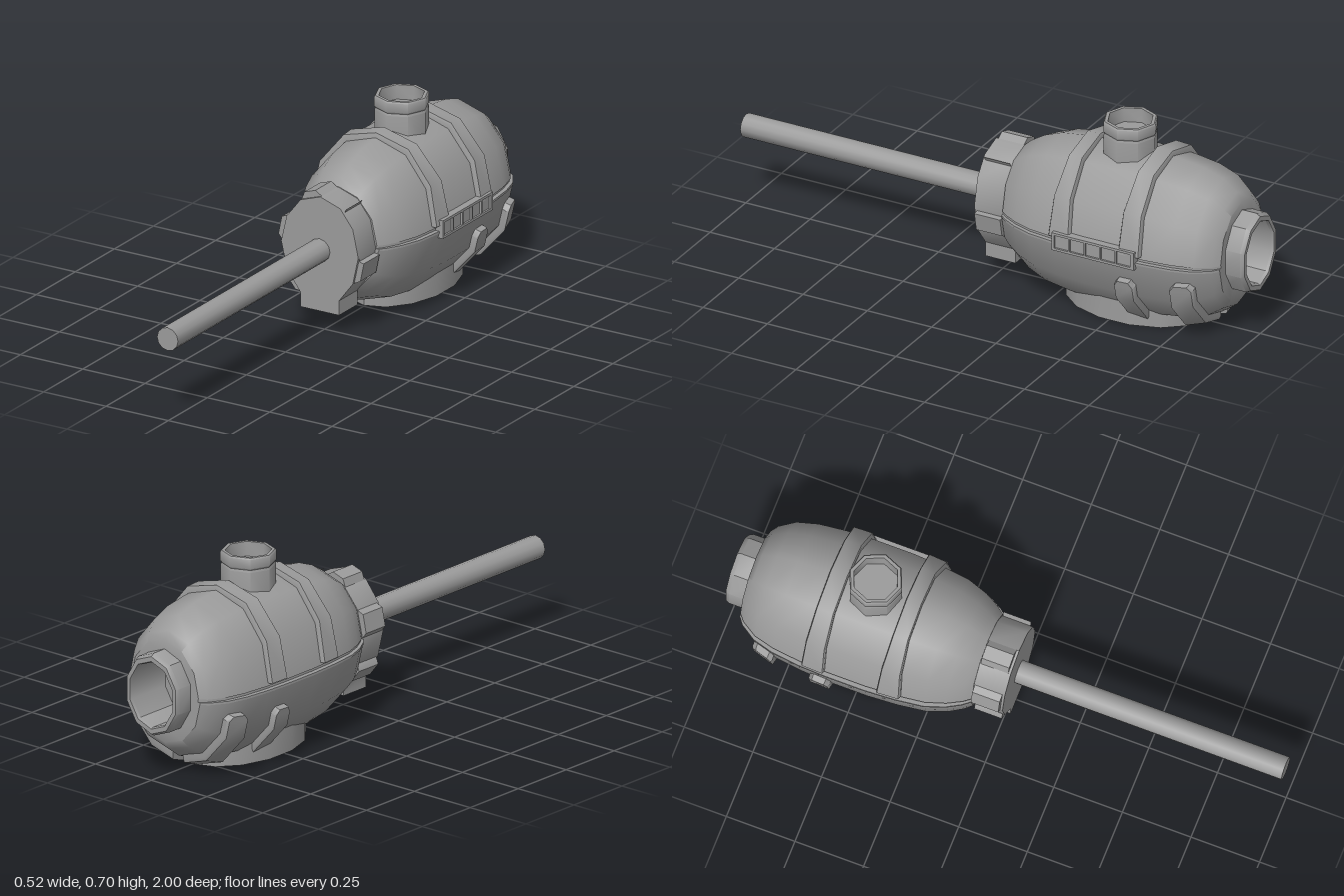
import * as THREE from 'three';
import { toCreasedNormals } from 'three/addons/utils/BufferGeometryUtils.js';

const RAD = Math.PI / 180;
const UPPER = { rx: 0.245, ry: 0.29, cy: 0.308 }; // half sections of the barrel
const LOWER = { rx: 0.257, ry: 0.288, cy: 0.297 };
const V = (a) => a.map(([x, y]) => new THREE.Vector2(x, y));

// barrel profile: [relative radius, distance behind z = 0]
const BARREL = [[0, 0.085], [0.64, 0.085], [0.72, 0.11], [0.83, 0.16], [0.925, 0.23], [0.975, 0.33],
  [1, 0.44], [1, 0.58], [0.985, 0.68], [0.94, 0.78], [0.86, 0.855], [0.72, 0.91], [0.62, 0.93], [0.43, 0.93]];

function barrelRadius(d) {
  for (let i = 2; i < BARREL.length; i++) {
    const [r0, d0] = BARREL[i - 1], [r1, d1] = BARREL[i];
    if (d <= d1) return r0 + (r1 - r0) * (d - d0) / (d1 - d0);
  }
  return 0.62;
}

// radius factor of a 12-sided outline at an angle in degrees
function facet(a) {
  const m = (((a % 30) + 30) % 30) - 15;
  return Math.cos(15 * RAD) / Math.cos(m * RAD);
}

export function createModel() {
  const root = new THREE.Group();
  const mat = new THREE.MeshStandardMaterial({ color: 0x9b9b9b });
  const thin = new THREE.MeshStandardMaterial({ color: 0x9b9b9b, side: THREE.DoubleSide });

  function add(name, geo, material = mat, crease = 0.65) {
    const mesh = new THREE.Mesh(toCreasedNormals(geo, crease), material);
    mesh.name = name;
    root.add(mesh);
  }

  // lathe turned so that its axis runs towards -z
  function turned(points, sides, { rx, ry, cy }, start = 0, length = Math.PI * 2) {
    return new THREE.LatheGeometry(V(points), sides, start, length)
      .rotateX(-Math.PI / 2).scale(rx, ry, 1).translate(0, cy, 0);
  }

  // raised strip wrapped around the barrel; columns are [angle, width factor, lift]
  function strip(name, columns, d0, d1, { rx, ry, cy }) {
    const pos = [], idx = [], mid = (d0 + d1) / 2, half = (d1 - d0) / 2;
    for (const [a, w, lift] of columns) {
      for (const [s, raised] of [[-1, 0], [-1, 0.8], [-0.9, 1], [0.9, 1], [1, 0.8], [1, 0]]) {
        const d = mid + s * w * half;
        const k = barrelRadius(d) * facet(a) * (0.94 + raised * (lift - 0.94));
        pos.push(k * rx * Math.cos(a * RAD), cy + k * ry * Math.sin(a * RAD), -d);
      }
    }
    for (let i = 0; i < columns.length - 1; i++) {
      for (let j = 0; j < 5; j++) {
        const p = i * 6 + j, q = p + 6;
        idx.push(p, p + 1, q, q, p + 1, q + 1);
      }
    }
    const g = new THREE.BufferGeometry();
    g.setAttribute('position', new THREE.Float32BufferAttribute(pos, 3));
    g.setIndex(idx);
    add(name, g, thin);
  }

  // flat plate following the barrel's plan, open at the rear outlet
  function seamPlate(name, rx, y0, y1) {
    const rim = BARREL.slice(1, -1).map(([r, d]) => [r * rx, d]);
    const shape = new THREE.Shape(V([...rim, [0.1, 0.93], [0.1, 0.2], [-0.1, 0.2], [-0.1, 0.93],
      ...rim.reverse().map(([x, d]) => [-x, d])]));
    add(name, new THREE.ExtrudeGeometry(shape, { depth: y1 - y0, bevelEnabled: false })
      .rotateX(-Math.PI / 2).translate(0, y0, 0));
  }

  // barrel halves with a ledge and a groove between them
  add('upperShell', turned(BARREL, 6, UPPER, -Math.PI / 2, Math.PI));
  add('lowerShell', turned(BARREL, 6, LOWER, Math.PI / 2, Math.PI));
  seamPlate('seamLedge', 0.257, 0.29, 0.298);
  seamPlate('seamGroove', 0.24, 0.298, 0.309);

  // upper bands, narrowing towards the top
  const over = (top) => {
    const sidePart = [[2, 1, 0.93], [2, 1, 1.07], [30, (1 + top) / 2, 1.08], [60, top, 1.085]];
    return [...sidePart, [90, top, 1.06], ...sidePart.reverse().map(([a, w, l]) => [180 - a, w, l])];
  };
  strip('frontBand', over(0.68), 0.313, 0.397, UPPER);
  strip('rearBand', over(0.8), 0.588, 0.67, UPPER);

  // lower straps on both sides, with rounded upper ends
  for (const [side, name] of [[1, 'left'], [-1, 'right']]) {
    const strap = (top, end, lift) => {
      const cols = [[top, 0.6, 0.93], [top, 0.6, lift], [top - 4, 1, lift], [-30, 1, lift],
        [-60, 1, lift], [end, 1, lift], [end, 1, 0.93]];
      return side > 0 ? cols : cols.map(([a, w, l]) => [180 - a, w, l]).reverse();
    };
    strip(name + 'MiddleStrap', strap(-16, -70, 1.09), 0.57, 0.645, LOWER);
    strip(name + 'RearStrap', strap(-12, -84, 1.11), 0.78, 0.86, LOWER);
  }

  // slotted buckle on the left side
  const rect = (C, x0, y0, x1, y1) => new C(V([[x0, y0], [x1, y0], [x1, y1], [x0, y1]]));
  const frame = rect(THREE.Shape, 0.335, -0.032, 0.655, 0.034);
  for (let i = 0; i < 5; i++) {
    const d = 0.345 + i * 0.0605;
    frame.holes.push(rect(THREE.Path, d, -0.023, d + 0.054, 0.025));
  }
  add('buckleFrame', new THREE.ExtrudeGeometry(frame, { depth: 0.03, bevelEnabled: false })
    .rotateY(Math.PI / 2).translate(0.235, 0.305, 0));
  add('buckleBack', new THREE.BoxGeometry(0.02, 0.06, 0.31).translate(0.248, 0.305, -0.495));

  // foot under the barrel
  add('foot', new THREE.CylinderGeometry(1, 1, 0.16, 14).scale(0.168, 1, 0.262).translate(-0.004, 0.08, -0.52));

  // filler neck with an open collar
  add('fillerNeck', new THREE.LatheGeometry(V([[0.095, 0.54], [0.095, 0.645], [0.092, 0.653],
    [0.096, 0.659], [0.096, 0.692], [0.092, 0.697], [0.08, 0.697], [0.078, 0.645], [0, 0.645]]), 8)
    .translate(-0.001, 0, -0.495), mat, 0.82);

  // rear outlet ring with a deep bore
  add('rearOutlet', turned([[1, 0.9], [1, 0.985], [0.94, 1], [0.82, 1], [0.79, 0.99], [0.79, 0.82], [0, 0.82]],
    10, { rx: 0.122, ry: 0.149, cy: 0.307 }));

  // front plate with a square heel
  const extrude = (points, z0, z1) => new THREE.ExtrudeGeometry(new THREE.Shape(V(points)),
    { depth: z1 - z0, bevelEnabled: false }).translate(0, 0, z0);
  add('frontPlate', extrude([[0, 0.492], [-0.08, 0.465], [-0.135, 0.395], [-0.157, 0.3], [-0.133, 0.2],
    [-0.08, 0.128], [-0.08, 0.075], [0.075, 0.075], [0.075, 0.128], [0.13, 0.2], [0.152, 0.3],
    [0.13, 0.4], [0.08, 0.465]], -0.09, 0.027));

  // grip lugs around the plate edge
  const lugs = [
    [[0, 0.492], [-0.025, 0.508], [-0.07, 0.493], [-0.08, 0.465]],
    [[0.075, 0.465], [0.13, 0.395], [0.138, 0.42], [0.1, 0.465]],
    [[-0.135, 0.395], [-0.16, 0.385], [-0.174, 0.32], [-0.157, 0.3]],
    [[0.152, 0.3], [0.13, 0.2], [0.155, 0.213], [0.169, 0.28]],
    [[-0.133, 0.2], [-0.142, 0.175], [-0.106, 0.13], [-0.08, 0.128]]];
  for (const lug of lugs) add('plateLug', extrude([...lug, [0, 0.3]], -0.082, 0.018));

  // long shaft
  add('shaft', new THREE.CylinderGeometry(0.042, 0.042, 1.02, 12).rotateX(Math.PI / 2).translate(-0.003, 0.297, 0.49));

  return root;
}
